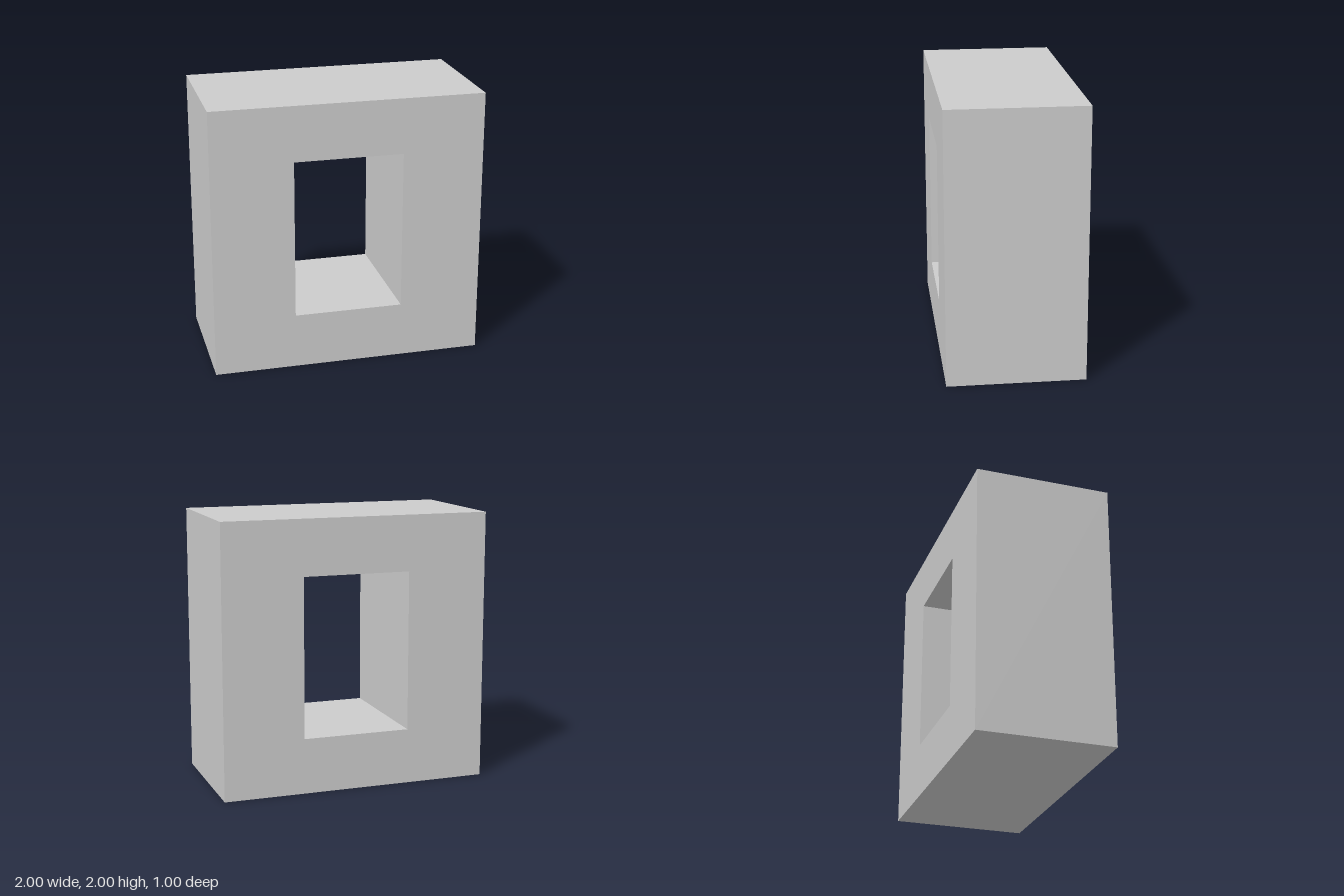
import * as THREE from 'three';

const WIDTH = 2, HEIGHT = 2, DEPTH = 1;
const HOLE_WIDTH = 0.8, HOLE_HEIGHT = 1.18;

// Corners of a rectangle centred on x = 0 and y = HEIGHT / 2
function rectangle(width, height) {
  const x = width / 2, y = height / 2, mid = HEIGHT / 2;
  return [[-x, mid - y], [x, mid - y], [x, mid + y], [-x, mid + y]]
    .map(([px, py]) => new THREE.Vector2(px, py));
}

export function createModel() {
  const model = new THREE.Group();
  model.name = 'windowBlock';

  // Solid block with a rectangular opening running front to back
  const outline = new THREE.Shape(rectangle(WIDTH, HEIGHT));
  outline.holes.push(new THREE.Path(rectangle(HOLE_WIDTH, HOLE_HEIGHT)));
  const geometry = new THREE.ExtrudeGeometry(outline, { depth: DEPTH, bevelEnabled: false });
  geometry.translate(0, 0, -DEPTH / 2);

  const material = new THREE.MeshStandardMaterial({ color: 0xcccccc, flatShading: true });
  const frame = new THREE.Mesh(geometry, material);
  frame.name = 'frame';
  model.add(frame);
  return model;
}
